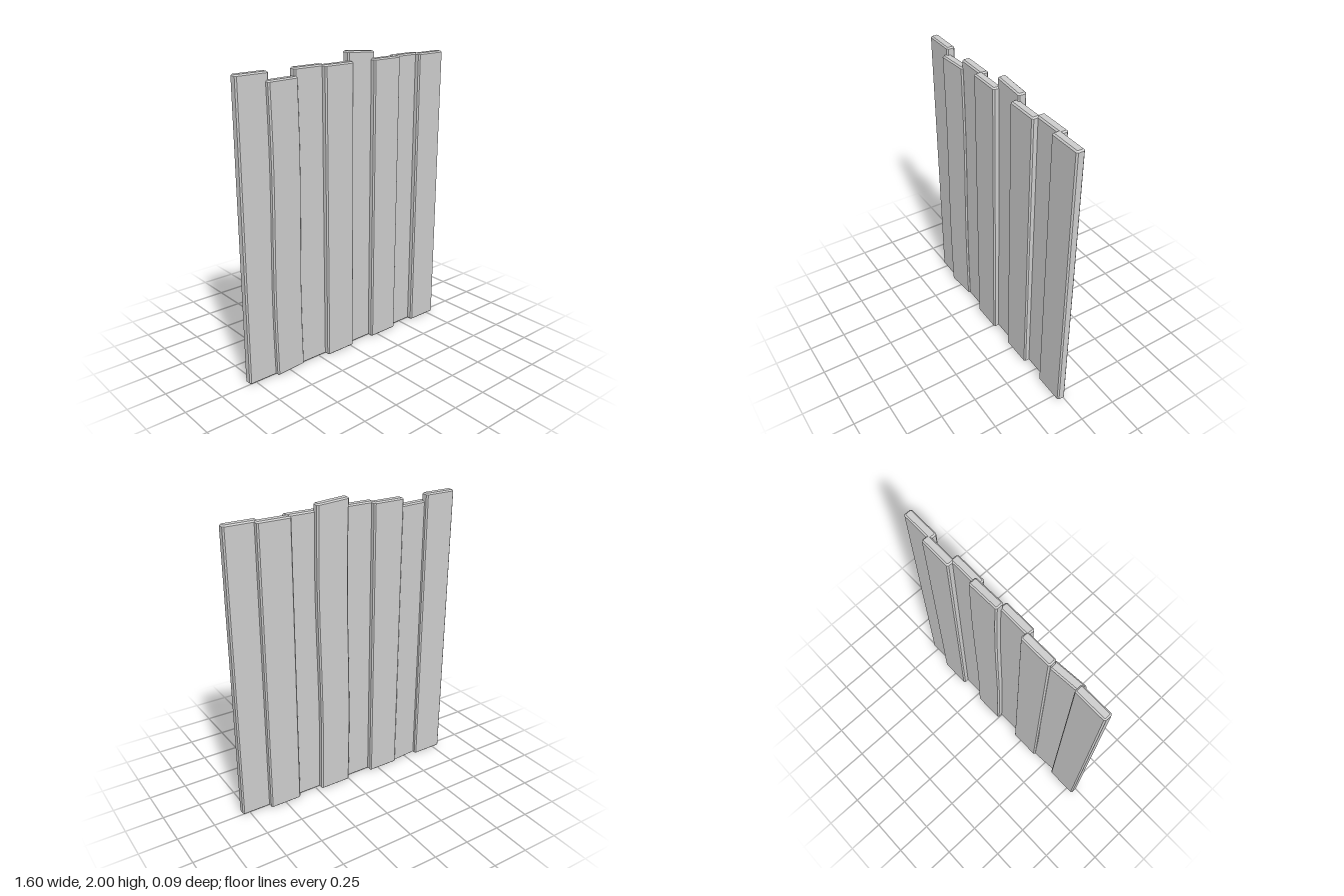
import * as THREE from 'three';
import { toCreasedNormals } from 'three/addons/utils/BufferGeometryUtils.js';

const W = 0.22, T = 0.056, BEVEL = 0.009;

// Upright plank with chamfered edges, standing on y = 0
function plankGeometry(height, steps) {
  const x = W / 2, z = T / 2, c = BEVEL;
  const section = new THREE.Shape([
    [x - c, -z], [x, -z + c], [x, z - c], [x - c, z],
    [-x + c, z], [-x, z - c], [-x, -z + c], [-x + c, -z],
  ].map(([a, b]) => new THREE.Vector2(a, b)));
  const geometry = new THREE.ExtrudeGeometry(section, {
    depth: height - 2 * BEVEL, steps, bevelEnabled: true,
    bevelSize: BEVEL, bevelThickness: BEVEL, bevelOffset: -BEVEL, bevelSegments: 1,
  });
  return geometry.rotateX(-Math.PI / 2).translate(0, BEVEL, 0);
}

// Gentle sideways S-bend, with an optional slope of the top end
function warp(geometry, height, slope) {
  const p = geometry.attributes.position;
  for (let i = 0; i < p.count; i++) {
    const x = p.getX(i), y = p.getY(i), t = y / height;
    p.setX(i, x - 0.007 * Math.sin(2 * Math.PI * t));
    if (t > 0.9) p.setY(i, y - slope * (x / W + 0.5) * (t - 0.9) / 0.1);
  }
  return geometry;
}

export function createModel() {
  const group = new THREE.Group();
  group.name = 'plankWall';
  const material = new THREE.MeshStandardMaterial({ color: 0xcccccc });

  // Planks alternate between a back and a front layer; two are warped
  const planks = [
    { x: -0.69, z: -0.018 },
    { x: -0.495, z: 0.001, height: 1.89, warped: true, turn: 0.075 },
    { x: -0.29, z: -0.018 },
    { x: -0.09, z: 0.018 },
    { x: 0.112, z: -0.018, height: 2, warped: true, slope: 0.016 },
    { x: 0.3, z: 0.018 },
    { x: 0.5, z: -0.018 },
    { x: 0.69, z: 0.018 },
  ];
  planks.forEach(({ x, z, height = 1.94, warped = false, turn = 0, slope = 0 }, i) => {
    let geometry = plankGeometry(height, warped ? 16 : 1);
    if (warped) geometry = warp(geometry, height, slope);
    const plank = new THREE.Mesh(toCreasedNormals(geometry, 0.4), material);
    plank.name = `plank${i + 1}`;
    plank.position.set(x, 0, z);
    plank.rotation.y = turn;
    group.add(plank);
  });
  return group;
}
